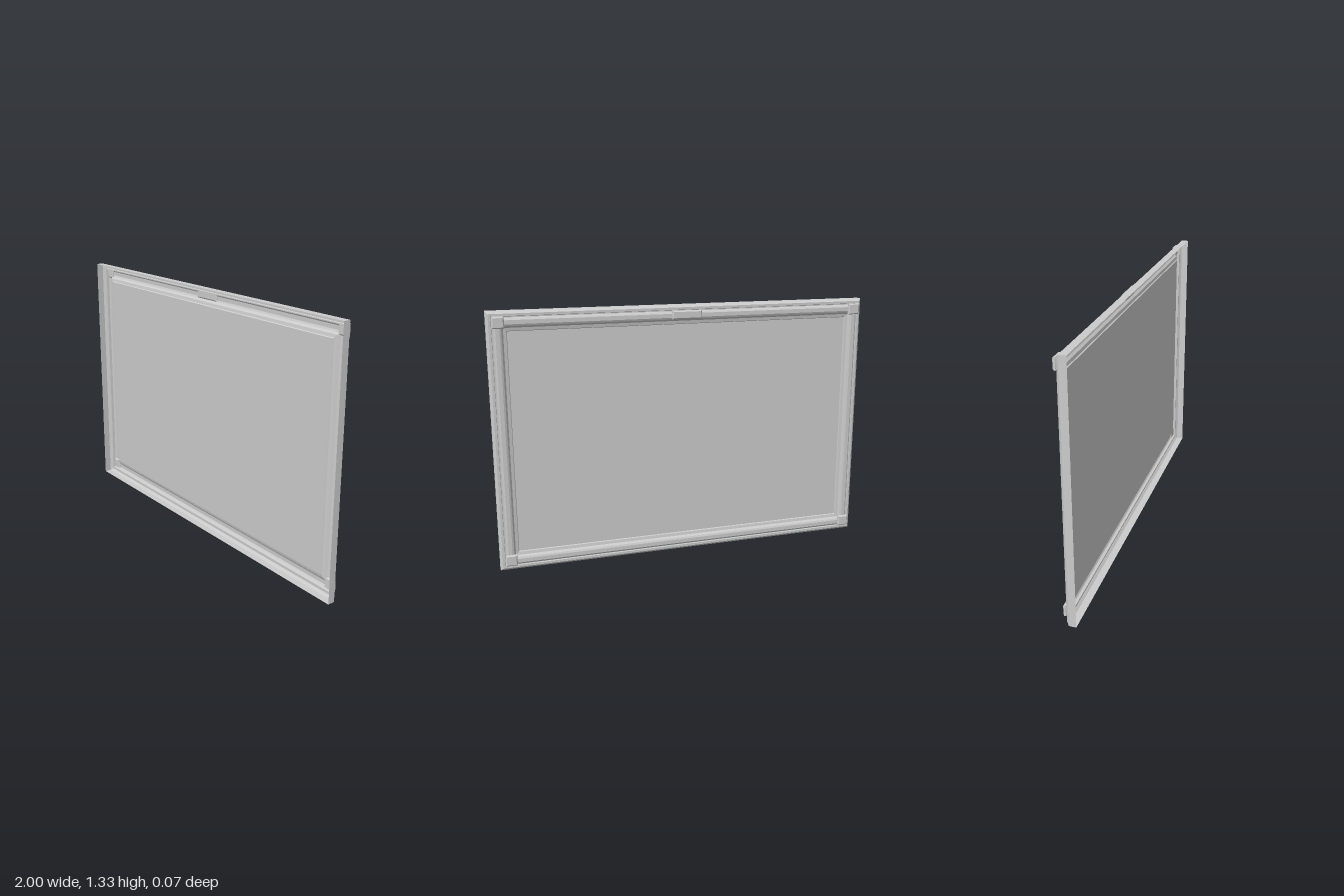
import * as THREE from 'three';

const W = 2, H = 1.333;
const material = new THREE.MeshStandardMaterial({ color: 0xcccccc, flatShading: true, side: THREE.DoubleSide });

// Moulding section from the open front rim to the panel: [inset from outer edge, z]
const PROFILE = [
  [0, 0.037], [0, 0], [0.012, -0.012], [0.024, -0.012], [0.026, -0.007], [0.031, -0.007],
  [0.034, -0.021], [0.042, -0.026], [0.062, -0.026], [0.071, -0.022], [0.08, -0.012], [0.095, -0.009], [0.098, -0.004],
];

// Mitred corners of the rectangle at a given inset, anticlockwise from the front
function corners([inset, z]) {
  const x = W / 2 - inset;
  return [[-x, inset, z], [x, inset, z], [x, H - inset, z], [-x, H - inset, z]];
}

// Sweep the section round the rectangle
function mouldingGeometry() {
  const positions = [];
  for (let i = 0; i < PROFILE.length - 1; i++) {
    const a = corners(PROFILE[i]), b = corners(PROFILE[i + 1]);
    for (let k = 0; k < 4; k++) {
      const n = (k + 1) % 4;
      for (const p of [a[k], b[k], b[n], a[k], b[n], a[n]]) positions.push(...p);
    }
  }
  const geometry = new THREE.BufferGeometry();
  geometry.setAttribute('position', new THREE.Float32BufferAttribute(positions, 3));
  geometry.computeVertexNormals();
  return geometry;
}

// Block with chamfered front and back edges
function block(name, w, h, x, y) {
  const bevel = 0.006, depth = 0.02;
  const sx = w / 2 - bevel, sy = h / 2 - bevel;
  const shape = new THREE.Shape([[-sx, -sy], [sx, -sy], [sx, sy], [-sx, sy]].map(p => new THREE.Vector2(...p)));
  const geometry = new THREE.ExtrudeGeometry(shape, {
    depth: depth - 2 * bevel, bevelThickness: bevel, bevelSize: bevel, bevelSegments: 1,
  });
  const mesh = new THREE.Mesh(geometry, material);
  mesh.name = name;
  mesh.position.set(x, y, -0.037 + bevel);
  return mesh;
}

export function createModel() {
  const group = new THREE.Group();
  group.name = 'framedPanel';

  // Hollow frame, open at the front
  const frame = new THREE.Mesh(mouldingGeometry(), material);
  frame.name = 'frameMoulding';
  group.add(frame);

  // Flat recessed panel
  const [inset, z] = PROFILE[PROFILE.length - 1];
  const panel = new THREE.Mesh(new THREE.PlaneGeometry(W - 2 * inset, H - 2 * inset), material);
  panel.name = 'panel';
  panel.position.set(0, H / 2, z);
  group.add(panel);

  // Corner pads and the top catch
  for (const x of [-0.945, 0.945]) {
    for (const y of [0.06, H - 0.052]) group.add(block('cornerPad', 0.06, 0.058, x, y));
  }
  group.add(block('topCatch', 0.155, 0.043, 0, 1.285));
  return group;
}
